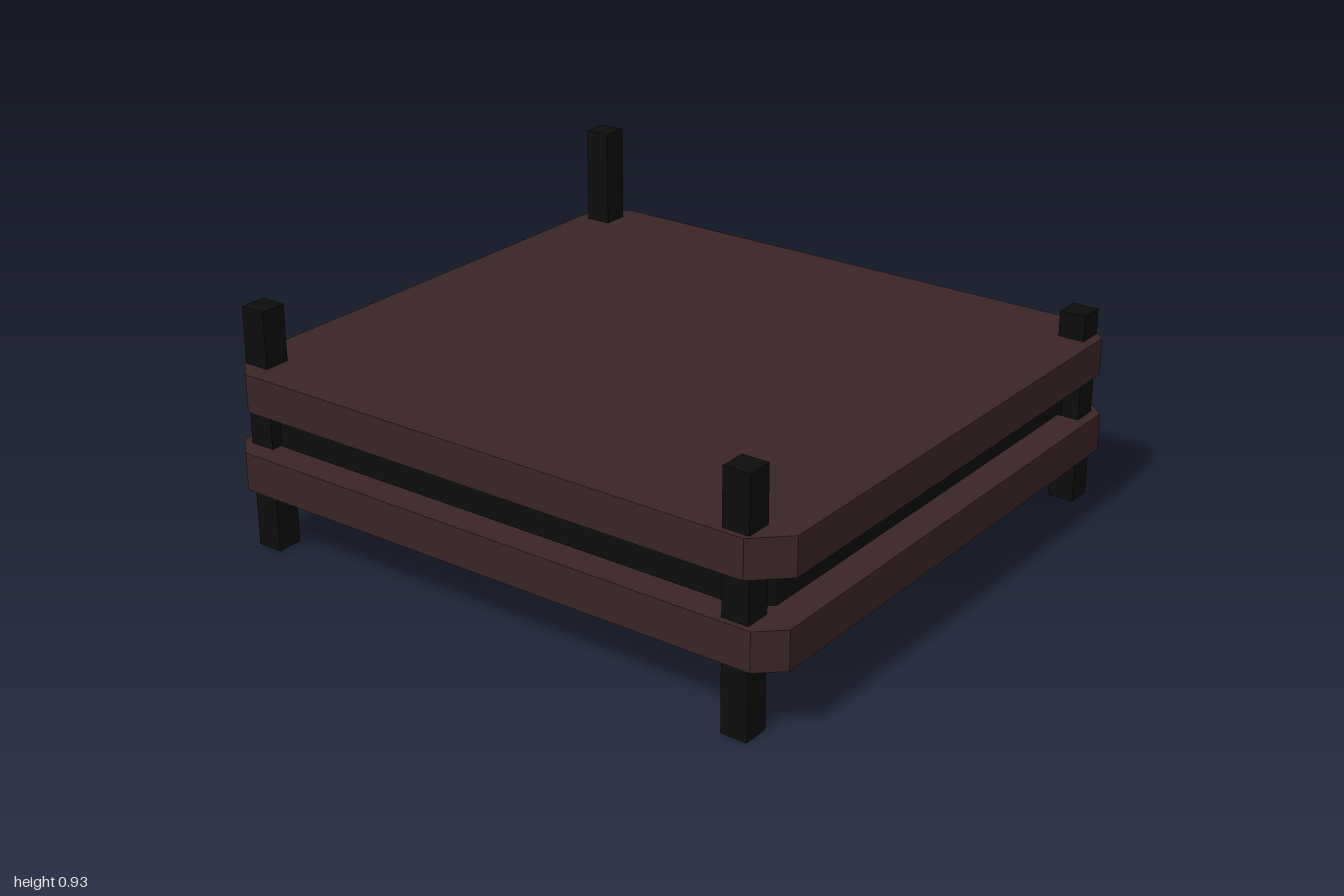
import * as THREE from 'three';

const brown = new THREE.MeshStandardMaterial({ color: 0x3a2525 });
brown.name = 'darkBrownWood';
const black = new THREE.MeshStandardMaterial({ color: 0x0d0d0d });
black.name = 'blackWood';

// Rectangular board with cut corners, lying flat between y0 and y1
function board(name, hx, hz, cx, cz, y0, y1, material) {
  const outline = [
    [hx, -hz + cz], [hx, hz - cz], [hx - cx, hz], [-hx + cx, hz],
    [-hx, hz - cz], [-hx, -hz + cz], [-hx + cx, -hz], [hx - cx, -hz],
  ].map(([x, z]) => new THREE.Vector2(x, z));
  const geometry = new THREE.ExtrudeGeometry(new THREE.Shape(outline), { depth: y1 - y0, bevelEnabled: false });
  geometry.rotateX(-Math.PI / 2).translate(0, y0, 0);
  const mesh = new THREE.Mesh(geometry, material);
  mesh.name = name;
  return mesh;
}

// Square post from y0 to y1
function post(name, x, z, y0, y1) {
  const mesh = new THREE.Mesh(new THREE.BoxGeometry(0.086, y1 - y0, 0.086), black);
  mesh.position.set(x, (y0 + y1) / 2, z);
  mesh.name = name;
  return mesh;
}

export function createModel() {
  const group = new THREE.Group();
  group.name = 'stackedPlatform';

  // Two brown slabs with a dark core between them
  group.add(
    board('lowerSlab', 0.93, 1, 0.07, 0.077, 0.227, 0.35, brown),
    board('core', 0.85, 0.91, 0.06, 0.06, 0.362, 0.484, black),
    board('upperSlab', 0.93, 1, 0.097, 0.102, 0.49, 0.611, brown),
  );

  // Uneven corner posts
  group.add(
    post('frontLeftPost', 0.817, 0.925, 0.07, 0.693),
    post('frontRightPost', -0.868, 0.86, 0, 0.787),
    post('backLeftPost', 0.817, -0.918, 0.14, 0.93),
    post('backRightPost', -0.822, -0.918, 0.007, 0.793),
  );
  return group;
}
